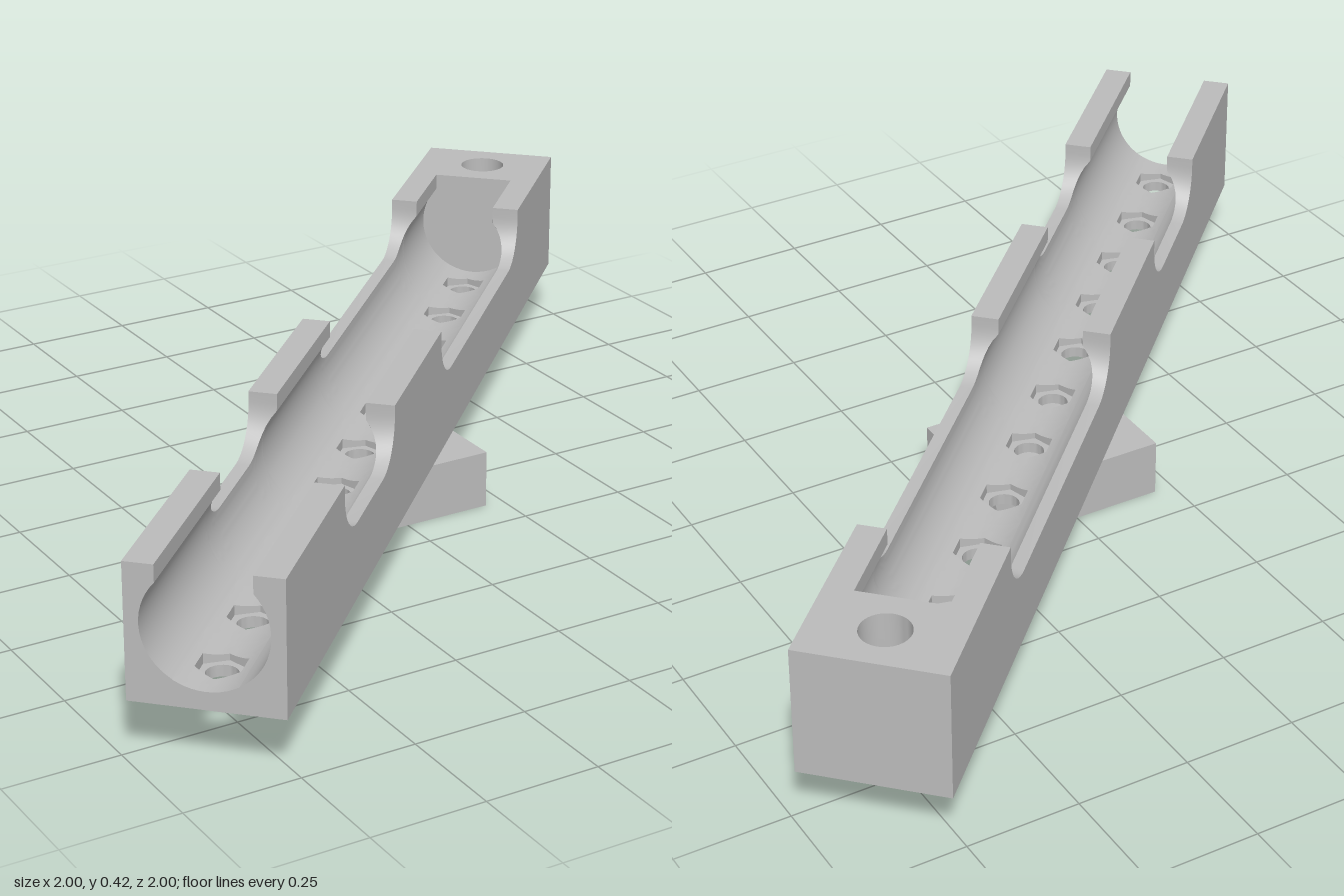
import * as THREE from 'three';
import { toCreasedNormals } from 'three/addons/utils/BufferGeometryUtils.js';

const L = 1.257, W = 0.157;              // half length and half width of the bar
const Y0 = 0.13, YS = 0.155, Y1 = 0.42;  // underside, slab top, bar top
const C = 0.297, R = 0.128;              // bore centre height and radius
const SLOT = 0.095;                      // half width of the opening above the bore
const SLOT_Y = C + Math.sqrt(R * R - SLOT * SLOT);
const STRIP = 0.065;                     // half width of the drilled floor strip
const END = 1.0475, PITCH = 0.2096, HOLE = 0.033;
const holeU = i => -1.153 + PITCH * i;
const boreY = v => C - Math.sqrt(R * R - v * v);

// Surface through rows of [x, y, z] points
function grid(rows) {
  const n = rows[0].length, index = [];
  for (let i = 0; i < rows.length - 1; i++) {
    for (let j = 0; j < n - 1; j++) {
      const a = i * n + j, b = a + n;
      index.push(a, a + 1, b, b, a + 1, b + 1);
    }
  }
  const g = new THREE.BufferGeometry();
  g.setAttribute('position', new THREE.Float32BufferAttribute(rows.flat(2), 3));
  g.setIndex(index);
  return toCreasedNormals(g, 0.5);
}

function rect(x0, x1, w) {
  return new THREE.Shape([[x0, -w], [x1, -w], [x1, w], [x0, w]].map(p => new THREE.Vector2(...p)));
}

function drill(shape, x, z, r) {
  shape.holes.push(new THREE.Path().absarc(x, z, r, 0, Math.PI * 2, true));
}

// Plan shape raised from y0 to y1
function slab(shape, y0, y1) {
  const g = new THREE.ExtrudeGeometry(shape, { depth: y1 - y0, bevelEnabled: false, curveSegments: 16 });
  g.rotateX(-Math.PI / 2).translate(0, y0, 0);
  return toCreasedNormals(g, 0.5);
}

// Wall cross-section at position u with its top at height h, on side s
function wallSection(u, h, s) {
  const top = Math.min(h, SLOT_Y);
  const inner = h < SLOT_Y ? Math.sqrt(R * R - (h - C) ** 2) : SLOT;
  const pts = [[u, YS, s * W], [u, h, s * W], [u, h, s * inner]];
  const a0 = Math.asin((top - C) / R), a1 = -Math.acos(STRIP / R);
  for (let k = 0; k <= 16; k++) {
    const a = a0 + (a1 - a0) * k / 16;
    pts.push([u, C + R * Math.sin(a), s * R * Math.cos(a)]);
  }
  return pts;
}

// Stations [u, top height] along the wall, with two round-cornered notches
function wallStations() {
  const st = [[-L, Y1]], r = 0.1;
  for (const [a, b] of [[-0.834, -0.424], [0.005, 0.834]]) {
    st.push([a, Y1]);
    for (let k = 0; k <= 10; k++) {
      const t = k / 10 * Math.PI / 2;
      st.push([a + r - r * Math.cos(t), C + r - r * Math.sin(t)]);
    }
    for (let k = 10; k >= 0; k--) {
      const t = k / 10 * Math.PI / 2;
      st.push([b - r + r * Math.cos(t), C + r - r * Math.sin(t)]);
    }
    st.push([b, Y1]);
  }
  st.push([END, Y1]);
  return st;
}

// Curved floor tile around one hexagonal pocket
function floorTile(u) {
  const hl = PITCH / 2, corner = Math.atan2(STRIP, hl), angles = [];
  for (let k = 0; k <= 48; k++) angles.push(k / 48 * Math.PI * 2);
  angles.push(corner, Math.PI - corner, Math.PI + corner, 2 * Math.PI - corner);
  angles.sort((a, b) => a - b);
  const hexR = a => 0.053 * Math.cos(Math.PI / 6) / Math.cos((a % (Math.PI / 3)) - Math.PI / 6);
  const rectR = a => Math.min(hl / Math.abs(Math.cos(a)), STRIP / Math.abs(Math.sin(a)));
  const rows = [];
  for (let k = 0; k <= 5; k++) {
    rows.push(angles.map(a => {
      const r = rectR(a) + (hexR(a) - rectR(a)) * k / 5, v = r * Math.sin(a);
      return [u + r * Math.cos(a), boreY(v), v];
    }));
  }
  rows.push(angles.map(a => [u + hexR(a) * Math.cos(a), YS, hexR(a) * Math.sin(a)]));
  return grid(rows);
}

export function createModel() {
  const model = new THREE.Group();
  const grey = new THREE.MeshStandardMaterial({ color: 0xbcbcbc, side: THREE.DoubleSide });
  grey.name = 'grey plastic';
  const add = (parent, name, geometry) => {
    const m = new THREE.Mesh(geometry, grey);
    m.name = name;
    parent.add(m);
    return m;
  };

  // Bar, lying diagonally over the mount
  const bar = new THREE.Group();
  bar.name = 'bar';
  bar.rotation.y = Math.PI / 4;
  model.add(bar);

  // Drilled base: a centre row and staggered side rows
  const base = rect(-L, L, W);
  for (let i = 0; i < 12; i++) {
    drill(base, holeU(i), 0, HOLE);
    if (i === 11) continue;
    for (const s of [-1, 1]) {
      const u = holeU(i) + PITCH / 2;
      drill(base, u, s * 0.104, 0.03);
      const blind = new THREE.CylinderGeometry(0.03, 0.03, 0.03, 20, 1, true);
      add(bar, 'blindHole', blind.translate(u, YS + 0.015, s * 0.104));
      const cap = new THREE.CircleGeometry(0.03, 20).rotateX(Math.PI / 2);
      add(bar, 'blindHoleEnd', cap.translate(u, YS + 0.03, s * 0.104));
    }
    add(bar, 'channelFloor', floorTile(holeU(i)));
  }
  add(bar, 'base', slab(base, Y0, YS));

  // Notched side walls
  for (const s of [-1, 1]) {
    add(bar, s > 0 ? 'frontWall' : 'backWall', grid(wallStations().map(([u, h]) => wallSection(u, h, s))));
  }

  // Open end face around the bore
  const half = wallSection(0, Y1, 1).map(p => [p[2], p[1]]);
  for (let k = 1; k <= 8; k++) {
    const v = STRIP * (1 - k / 8);
    half.push([v, boreY(v)]);
  }
  const outline = [...half, ...half.slice(0, -1).reverse().map(([v, y]) => [-v, y])];
  const face = new THREE.ShapeGeometry(new THREE.Shape(outline.map(p => new THREE.Vector2(...p))));
  add(bar, 'openEnd', face.rotateY(-Math.PI / 2).translate(-L, 0, 0));

  // Solid end block with a counterbored hole
  const block = rect(END, L, W);
  drill(block, holeU(11), 0, 0.053);
  add(bar, 'endBlock', slab(block, YS, Y1));

  // Mount with a T-slot, open underneath towards -x
  const mount = new THREE.Group();
  mount.name = 'mount';
  model.add(mount);
  const mx = 0.205, mz = 0.157, lipX = 0.08, gap = 0.07;
  add(mount, 'mountTop', slab(rect(-mx, mx, mz), 0.085, Y0));
  for (const s of [-1, 1]) {
    add(mount, 'mountSide', new THREE.BoxGeometry(2 * mx, 0.04, 0.03).translate(0, 0.065, s * (mz - 0.015)));
  }
  const lip = new THREE.Shape();
  lip.moveTo(-mx, -mz);
  lip.lineTo(mx, -mz);
  lip.lineTo(mx, mz);
  lip.lineTo(-mx, mz);
  lip.lineTo(-mx, gap);
  lip.lineTo(lipX, gap);
  lip.absarc(lipX, 0, gap, Math.PI / 2, -Math.PI / 2, true);
  lip.lineTo(-mx, -gap);
  add(mount, 'mountLip', slab(lip, 0, 0.045));

  return model;
}
